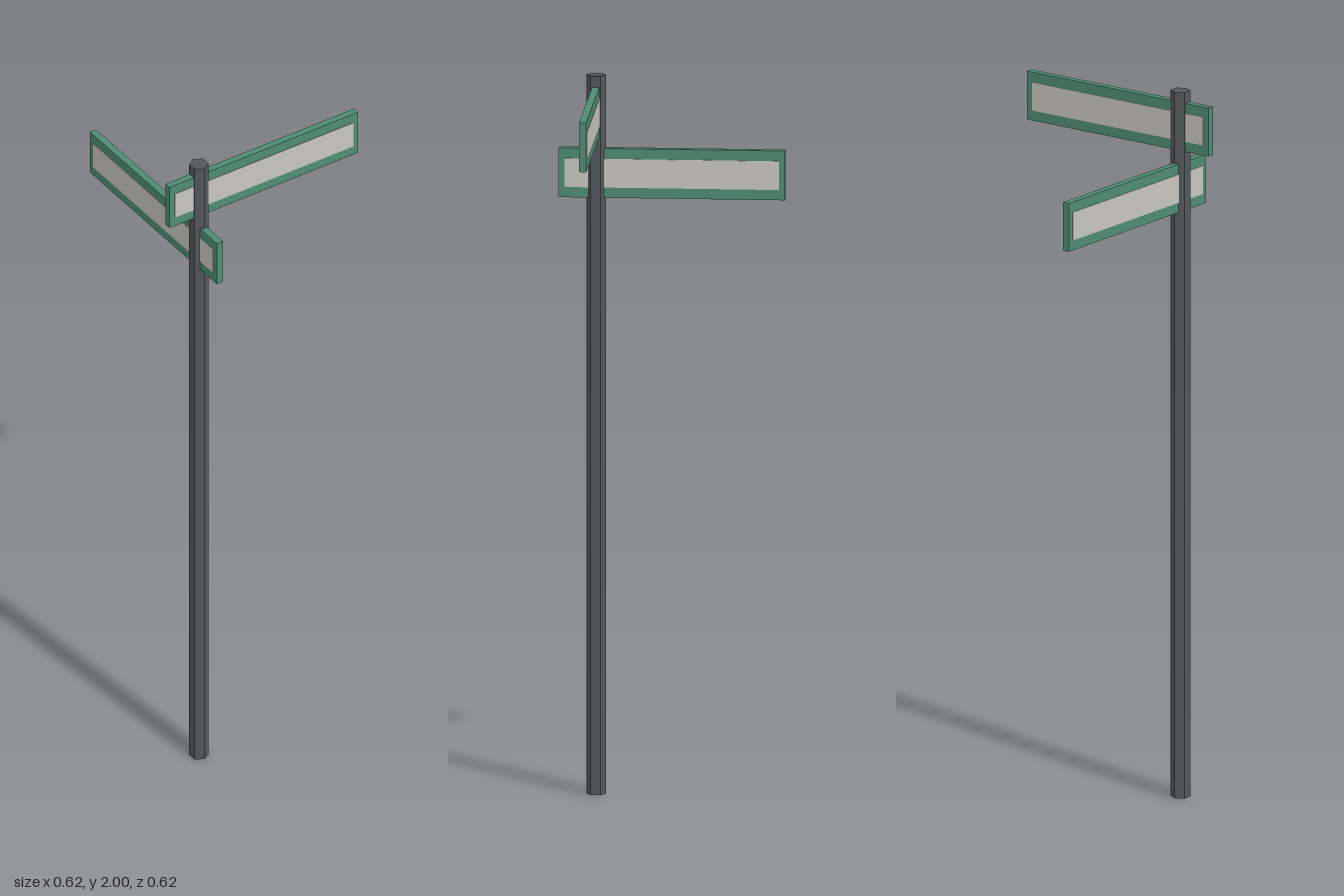
import * as THREE from 'three';

export function createModel() {
  const model = new THREE.Group();
  model.name = 'streetSign';
  const mat = (name, color, flatShading = false) =>
    Object.assign(new THREE.MeshStandardMaterial({ color, flatShading }), { name });
  const poleGrey = mat('pole grey', 0x54585a, true);
  const signGreen = mat('sign green', 0x4f8c74);
  const panelGrey = mat('panel light grey', 0xc8c6c1);
  const px = -0.207, pz = 0.207;

  // hexagonal pole
  const pole = new THREE.Mesh(new THREE.CylinderGeometry(0.027, 0.027, 2, 6), poleGrey);
  pole.name = 'pole';
  pole.position.set(px, 1, pz);
  model.add(pole);

  // green board with a thin pale panel on each side
  function sign(name) {
    const group = new THREE.Group();
    group.name = name;
    const board = new THREE.Mesh(new THREE.BoxGeometry(0.62, 0.137, 0.02), signGreen);
    board.name = 'board';
    group.add(board);
    for (const side of [1, -1]) {
      const panel = new THREE.Mesh(new THREE.BoxGeometry(0.586, 0.08, 0.003), panelGrey);
      panel.name = side > 0 ? 'frontPanel' : 'backPanel';
      panel.position.z = side * 0.01;
      group.add(panel);
    }
    model.add(group);
    return group;
  }

  sign('upperSign').position.set(0, 1.9, pz);
  const lower = sign('lowerSign');
  lower.position.set(px, 1.728, 0);
  lower.rotation.y = Math.PI / 2;

  return model;
}
